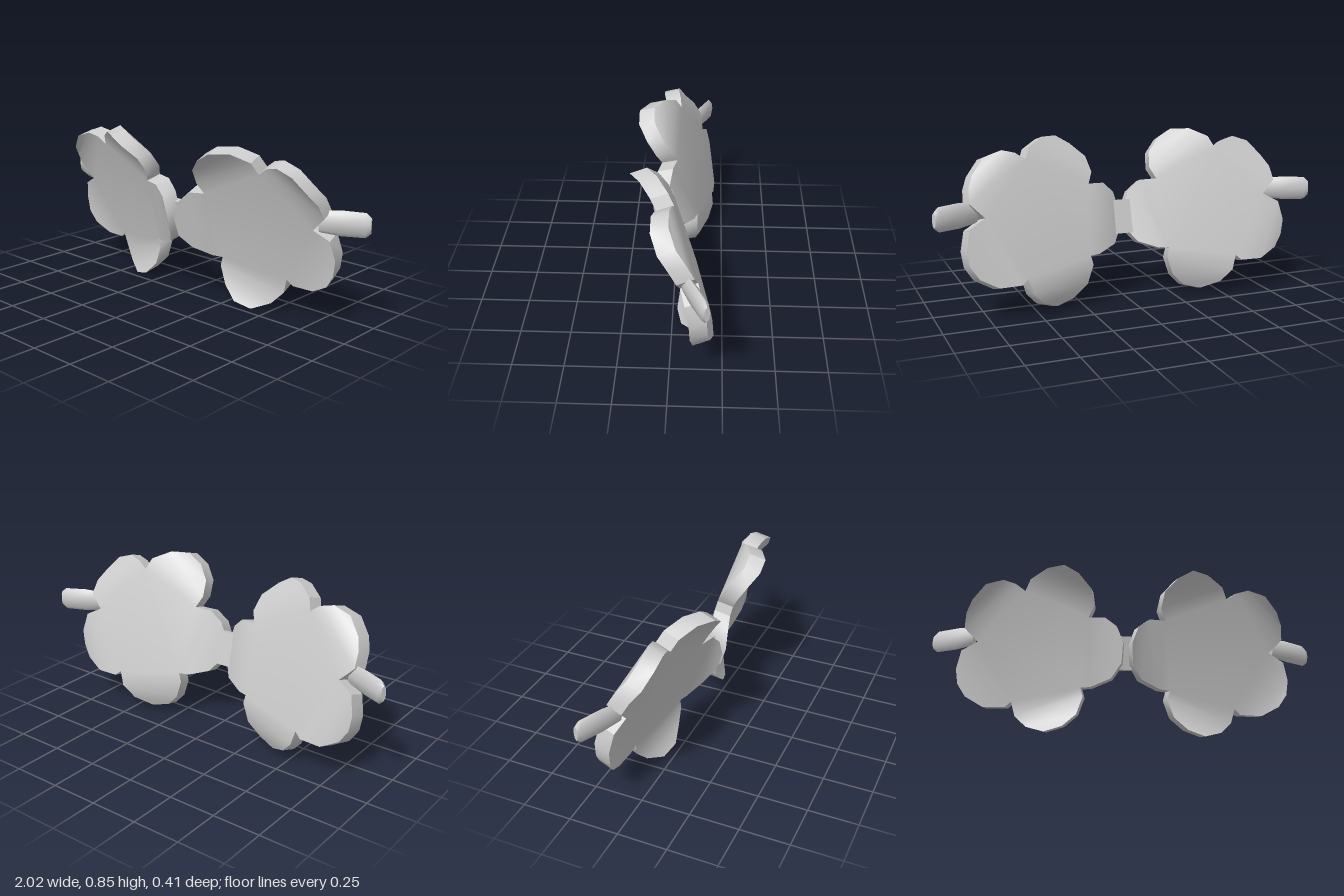
import * as THREE from 'three';
import { toCreasedNormals } from 'three/addons/utils/BufferGeometryUtils.js';

const grey = new THREE.MeshStandardMaterial({ color: 0xcccccc });
grey.name = 'grey';

// Tilted plane of the flower's flat middle, its normal and the wall thickness
const planeZ = (x, y) => -0.008 - 0.17 * (x - 0.456) + 0.30 * (y - 0.454);
const normal = new THREE.Vector3(0.17, -0.30, 1).normalize();
const thickness = 0.085;

// Each petal: forward lift of its tip, then its rim seen from the front,
// starting with the notch it shares with the previous petal
const petals = [
  { lift: 0.047, rim: [[.53, .735], [.58, .77], [.645, .785], [.735, .755], [.80, .68], [.83, .625], [.837, .556]] },
  { lift: 0.035, rim: [[.767, .487], [.848, .444], [.87, .348], [.858, .267], [.816, .203], [.725, .155], [.612, .155]] },
  { lift: 0.09, rim: [[.58, .182], [.559, .107], [.5, .043], [.409, .003], [.318, .027], [.249, .096], [.217, .193]] },
  { lift: 0.05, rim: [[.23, .241], [.179, .241], [.078, .273], [.029, .337], [.024, .438], [.056, .529], [.115, .583]] },
  { lift: 0.075, rim: [[.2, .588], [.174, .642], [.19, .716], [.26, .78], [.334, .824], [.42, .829], [.505, .79]] },
];
const bend = [0, 0.12, 0.5, 1, 1, 0.5, 0.12]; // share of the lift at each rim point

function flowerGeometry(side) {
  const front = [];
  for (const { lift, rim } of petals) {
    rim.forEach(([x, y], i) => front.push(new THREE.Vector3(x, y, planeZ(x, y) + lift * bend[i])));
  }
  const back = front.map((p) => p.clone().addScaledVector(normal, -thickness));
  const n = front.length;
  const positions = [];
  const tri = (a, b, c) => {
    for (const p of side > 0 ? [a, b, c] : [a, c, b]) positions.push(p.x * side, p.y, p.z);
  };
  const quad = (a, b, c, d) => { tri(a, b, c); tri(a, c, d); };

  // Front and back skins: flat pentagon, then three bent strips per petal
  for (const [pts, flip] of [[front, true], [back, false]]) {
    const face = (a, b, c, d) => (flip ? quad(d, c, b, a) : quad(a, b, c, d));
    const [n1, n2, n3, n4, n5] = [0, 7, 14, 21, 28].map((i) => pts[i]);
    face(n1, n2, n3, n4);
    if (flip) tri(n5, n4, n1); else tri(n1, n4, n5);
    for (let k = 0; k < petals.length; k++) {
      const at = (i) => pts[(k * 7 + i) % n];
      for (let i = 0; i < 3; i++) face(at(i), at(i + 1), at(6 - i), at(7 - i));
    }
  }
  // Rim wall
  for (let i = 0; i < n; i++) {
    const j = (i + 1) % n;
    quad(front[i], front[j], back[j], back[i]);
  }
  const geometry = new THREE.BufferGeometry();
  geometry.setAttribute('position', new THREE.Float32BufferAttribute(positions, 3));
  return toCreasedNormals(geometry, 0.6);
}

// Short flattened arm stub, running outwards and back from the flower's edge
function armStub(side) {
  const profile = [[0, 0], [0.052, 0], [0.062, 0.1], [0.06, 0.215], [0.038, 0.24], [0, 0.24]]
    .map(([r, h]) => new THREE.Vector2(r, h));
  const geometry = new THREE.LatheGeometry(profile, 8);
  geometry.scale(1, 1, 0.38);
  geometry.rotateZ(-Math.PI / 2);
  const mesh = new THREE.Mesh(toCreasedNormals(geometry.toNonIndexed(), 0.9), grey);
  mesh.position.set(side * 0.785, 0.53, -0.075);
  mesh.rotation.y = side > 0 ? 0.42 : Math.PI - 0.42;
  return mesh;
}

export function createModel() {
  const model = new THREE.Group();
  model.name = 'flowerGlasses';

  for (const side of [1, -1]) {
    const label = side > 0 ? 'left' : 'right';
    const flower = new THREE.Mesh(flowerGeometry(side), grey);
    flower.name = label + 'Flower';
    const arm = armStub(side);
    arm.name = label + 'Arm';
    model.add(flower, arm);
  }

  // Tilted plate joining the two flowers
  const bridge = new THREE.Mesh(new THREE.BoxGeometry(0.12, 0.175, 0.035), grey);
  bridge.name = 'bridge';
  bridge.position.set(0, 0.422, 0.01);
  bridge.rotation.x = 0.25;
  model.add(bridge);

  return model;
}
